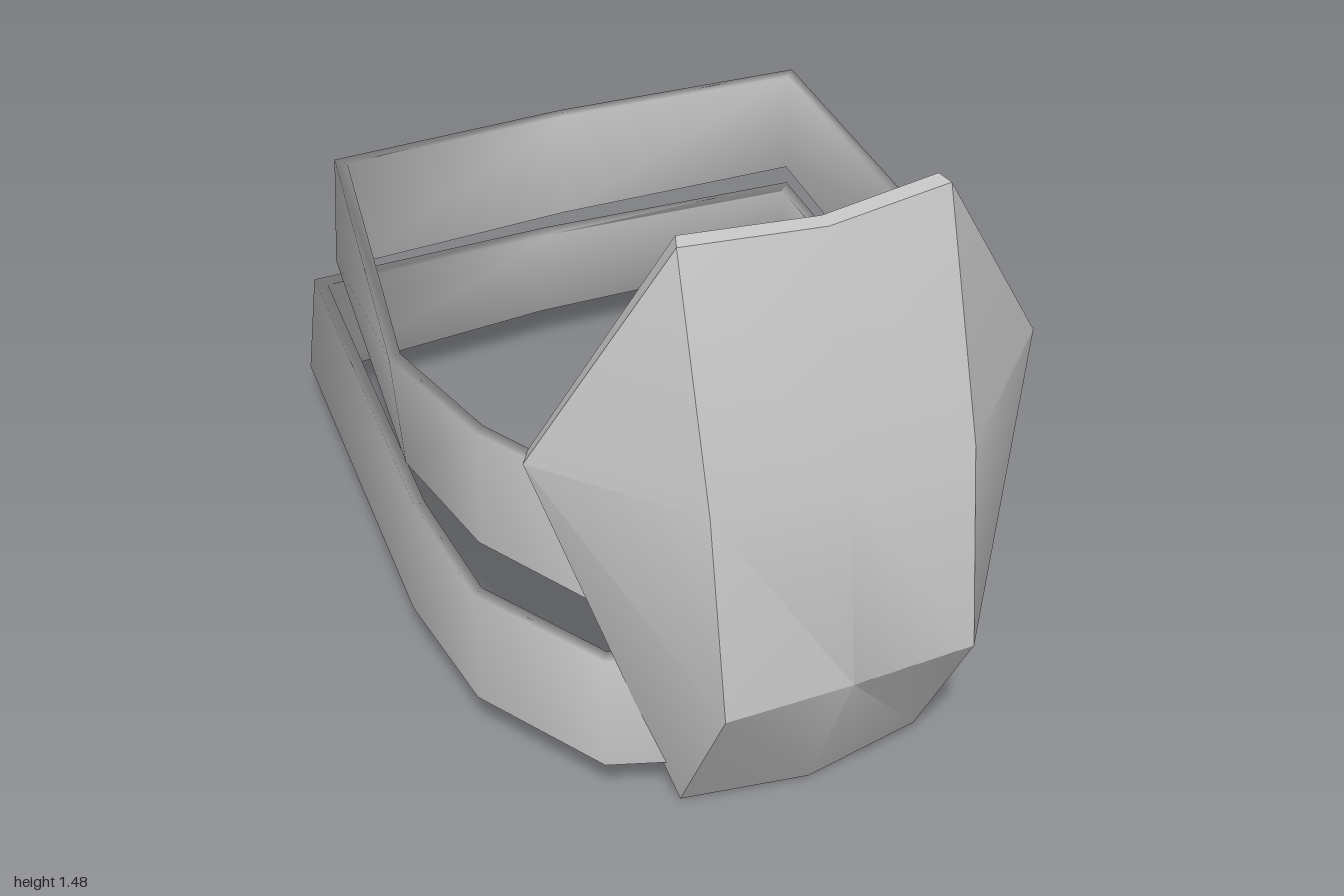
import * as THREE from 'three';
import { toCreasedNormals } from 'three/addons/utils/BufferGeometryUtils.js';

function buildGeometry(points, index) {
  const geo = new THREE.BufferGeometry();
  geo.setAttribute('position', new THREE.Float32BufferAttribute(points.flat(), 3));
  geo.setIndex(index);
  geo.computeVertexNormals();
  return geo;
}

// Closed band; each entry is [x, z] at the top edge and [x, z] at the bottom edge
function strapGeometry(path, yTop, yBottom) {
  const inner = 0.96;
  const points = [];
  const index = [];
  path.forEach(([xt, zt, xb = xt, zb = zt], i) => {
    points.push(
      [xt, yTop, zt], [xb, yBottom, zb],
      [xb * inner, yBottom, zb * inner], [xt * inner, yTop, zt * inner],
    );
    const next = (i + 1) % path.length;
    for (let k = 0; k < 4; k++) {
      const a = i * 4 + k, b = i * 4 + (k + 1) % 4;
      const d = next * 4 + k, c = next * 4 + (k + 1) % 4;
      index.push(a, d, c, a, c, b);
    }
  });
  return buildGeometry(points, index);
}

// Faceted shield: four rows of three points plus one point out on each side
function plateGeometry() {
  const front = [
    [-0.33, 1.455, 0.86], [-0.05, 1.468, 0.91], [0.22, 1.475, 0.86],
    [-0.31, 0.92, 0.985], [-0.03, 0.93, 1.0], [0.245, 0.94, 0.975],
    [-0.28, 0.42, 1.0], [0, 0.425, 0.99], [0.27, 0.435, 0.975],
    [-0.275, 0.0, 0.74], [0, 0.01, 0.78], [0.27, 0.025, 0.72],
    [-0.585, 0.925, 0.7], [0.51, 0.965, 0.685],
  ];
  const n = front.length;
  const back = front.map(([x, y, z]) => [x * 0.96, y, z - 0.04]);
  const faces = [];
  for (let r = 0; r < 3; r++) {
    for (let c = 0; c < 2; c++) {
      const a = r * 3 + c;
      faces.push([a, a + 3, a + 4], [a, a + 4, a + 1]);
    }
    // side wings
    faces.push([12, r * 3 + 3, r * 3], [13, r * 3 + 2, r * 3 + 5]);
  }
  const index = [];
  for (const [a, b, c] of faces) index.push(a, b, c, a + n, c + n, b + n);
  // rim joining front and back
  const rim = [0, 12, 9, 10, 11, 13, 2, 1];
  rim.forEach((p, i) => {
    const q = rim[(i + 1) % rim.length];
    index.push(p, p + n, q + n, p, q + n, q);
  });
  return toCreasedNormals(buildGeometry([...front, ...back], index), 0.5);
}

export function createModel() {
  const model = new THREE.Group();
  model.name = 'strappedGuard';
  const grey = new THREE.MeshStandardMaterial({ name: 'light grey', color: 0xcccccc });

  const add = (name, geometry) => {
    const mesh = new THREE.Mesh(geometry, grey);
    mesh.name = name;
    model.add(mesh);
  };

  add('guardPlate', plateGeometry());

  add('upperStrap', strapGeometry([
    [-0.56, -0.735, -0.57, -0.745], [0, -0.765, 0, -0.79], [0.585, -0.75, 0.605, -0.795],
    [0.605, 0.04, 0.61, 0.04], [0.53, 0.39], [0.31, 0.68], [-0.03, 0.77],
    [-0.43, 0.68], [-0.59, 0.4], [-0.675, 0.08, -0.65, 0.08],
  ], 0.8, 0.52));

  add('lowerStrap', strapGeometry([
    [-0.595, -0.875, -0.61, -0.92], [0, -0.9, 0, -0.99], [0.635, -0.885, 0.67, -1],
    [0.655, 0.03, 0.665, 0.03], [0.54, 0.42], [0.32, 0.71], [-0.03, 0.83],
    [-0.43, 0.71], [-0.61, 0.41], [-0.635, 0.07, -0.65, 0.07],
  ], 0.395, 0.117));

  return model;
}
